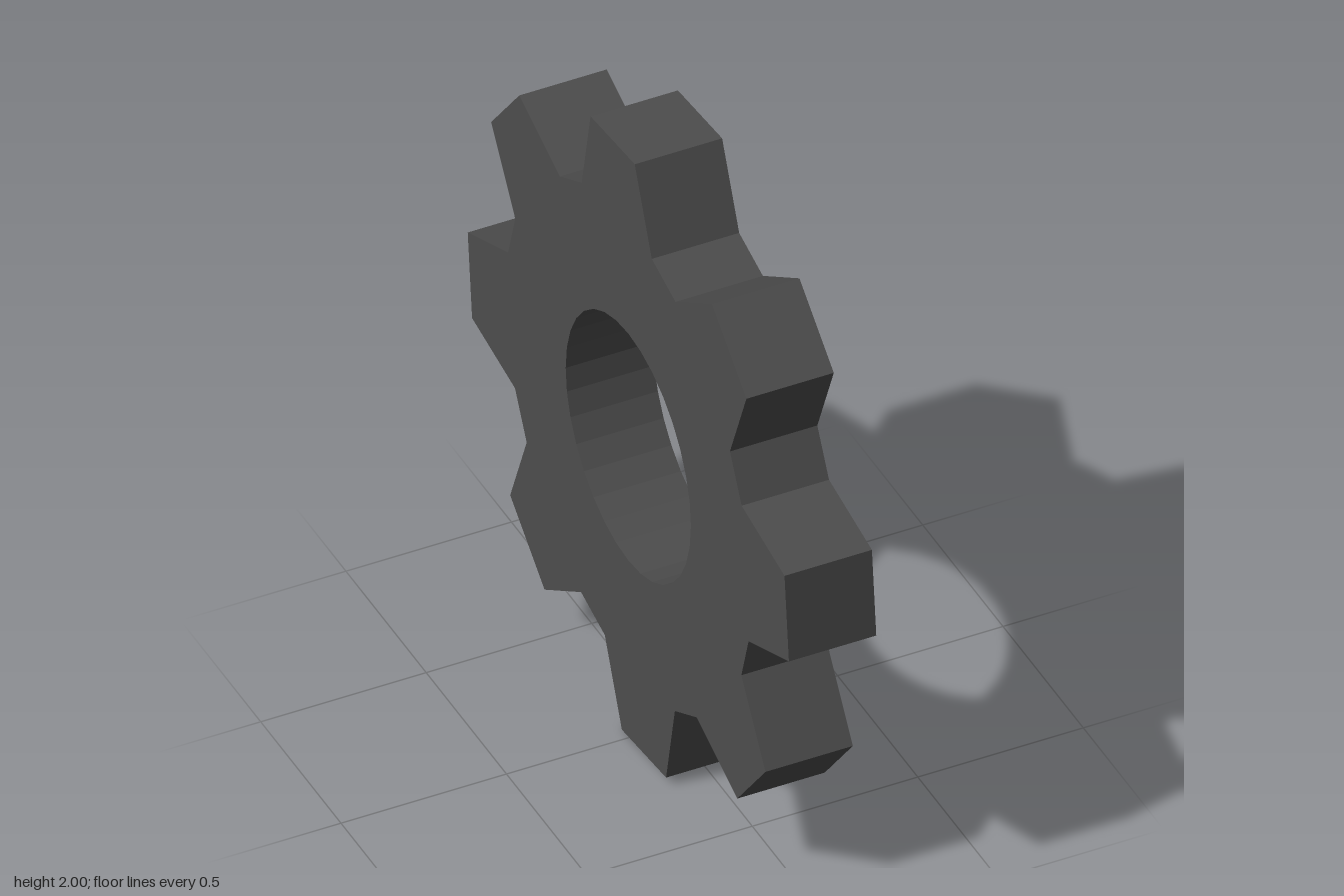
import * as THREE from 'three';

const TEETH = 8, TIP_R = 1.001, ROOT_R = 0.763, BORE_R = 0.39, WIDTH = 0.264;
const OFFSET = -5.65; // turn of the first tooth away from straight up, in degrees

const polar = (r, deg) => {
  const a = THREE.MathUtils.degToRad(deg);
  return new THREE.Vector2(r * Math.cos(a), r * Math.sin(a));
};

export function createModel() {
  const model = new THREE.Group();
  model.name = 'gear';

  // Toothed outline: each tooth runs root, tip, tip, root
  const outline = [];
  for (let i = 0; i < TEETH; i++) {
    const mid = 90 + OFFSET + (i * 360) / TEETH;
    outline.push(
      polar(ROOT_R, mid - 16.7), polar(TIP_R, mid - 7.95),
      polar(TIP_R, mid + 7.95), polar(ROOT_R, mid + 16.7));
  }
  const shape = new THREE.Shape(outline);

  // Faceted round bore
  const bore = [];
  for (let i = 0; i < 32; i++) bore.push(polar(BORE_R, (-i * 360) / 32));
  shape.holes.push(new THREE.Path(bore));

  // Extrude, then turn the axle direction onto x
  const geometry = new THREE.ExtrudeGeometry(shape, { depth: WIDTH, bevelEnabled: false });
  geometry.translate(0, 0, -WIDTH / 2);
  geometry.rotateY(Math.PI / 2);
  geometry.translate(0, 1, 0);

  // Dark grey wheel
  const wheel = new THREE.Mesh(
    geometry, new THREE.MeshStandardMaterial({ color: 0x4d4d4d, flatShading: true }));
  wheel.name = 'gearWheel';
  model.add(wheel);
  return model;
}
